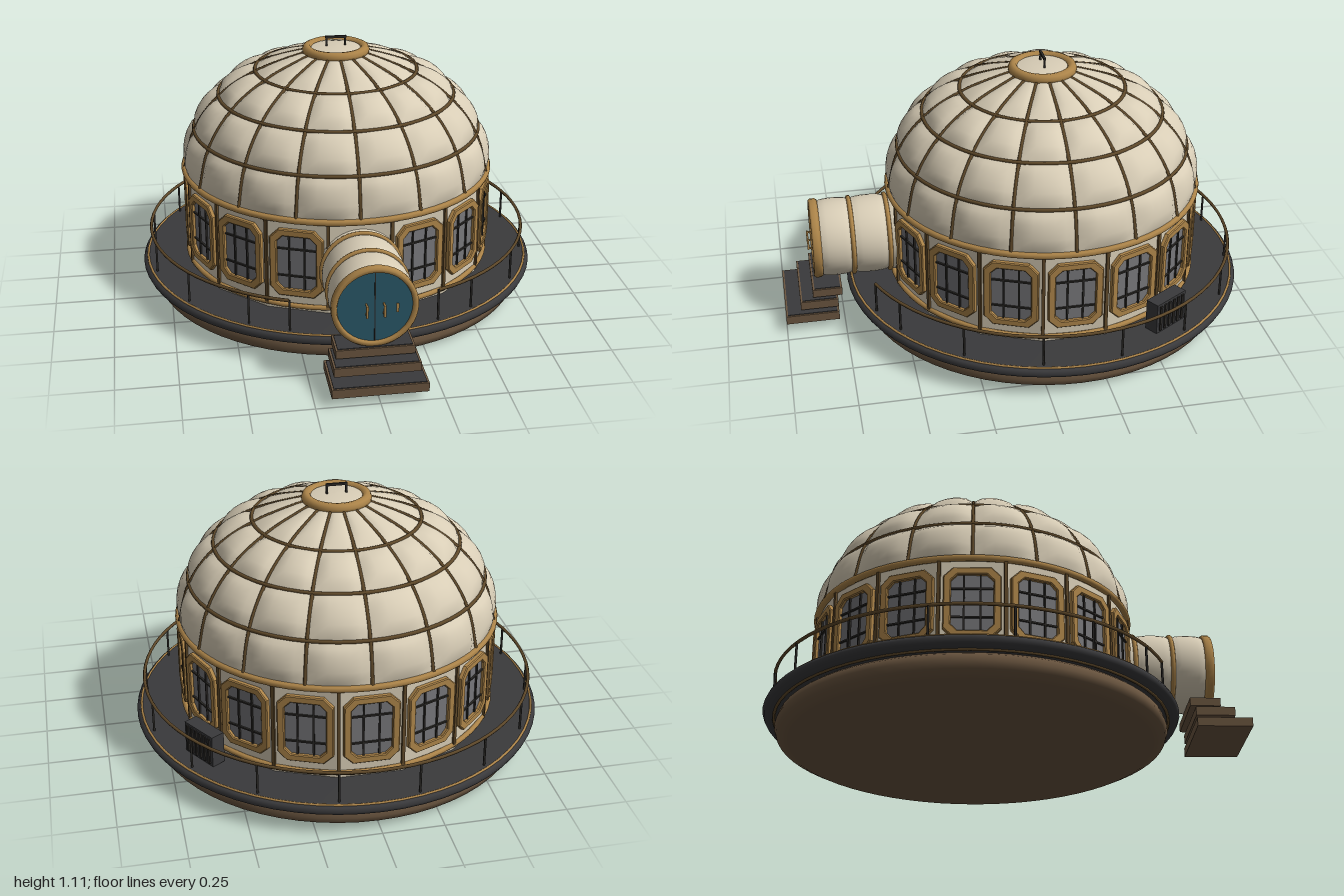
import * as THREE from 'three';
import { mergeGeometries } from 'three/addons/utils/BufferGeometryUtils.js';

const mat = (name, color, side = THREE.FrontSide) => {
  const m = new THREE.MeshStandardMaterial({ color, side });
  m.name = name;
  return m;
};

export function createModel() {
  const cream = mat('cream panel', 0xd8cdb6);
  const brass = mat('brass', 0xac8449);
  const bronze = mat('dark bronze', 0x5e4829);
  const brown = mat('brown base', 0x6b5640);
  const dark = mat('charcoal deck', 0x3a3a3c);
  const black = mat('black metal', 0x2b2926);
  const teal = mat('teal door', 0x2a5869);
  const glass = mat('grey glass', 0x77777a);

  const root = new THREE.Group();
  const house = new THREE.Group();
  house.name = 'domeHouse';
  house.position.z = -0.14;
  const entrance = new THREE.Group();
  entrance.name = 'entrance';
  root.add(house, entrance);

  const add = (parent, name, geo, material, x = 0, y = 0, z = 0) => {
    const m = new THREE.Mesh(geo, material);
    m.name = name;
    m.position.set(x, y, z);
    parent.add(m);
    return m;
  };
  const lathe = (pts, seg = 64) =>
    new THREE.LatheGeometry(pts.map(p => new THREE.Vector2(p[0], p[1])), seg);
  const hoop = (name, r, tube, y, material, seg = 64) =>
    add(house, name, new THREE.TorusGeometry(r, tube, 8, seg).rotateX(Math.PI / 2), material, 0, y);
  const box = (w, h, d) => new THREE.BoxGeometry(w, h, d);
  const N = 16, STEP = Math.PI * 2 / N;

  // Round base and deck
  add(house, 'base', lathe([[0, 0], [0.755, 0], [0.765, 0.001], [0.8, 0.018], [0.81, 0.045],
    [0.8, 0.075], [0.78, 0.09]]), brown);
  add(house, 'deck', lathe([[0.7, 0.088], [0.835, 0.088], [0.855, 0.097], [0.862, 0.112],
    [0.855, 0.127], [0.84, 0.133], [0.83, 0.134], [0, 0.134]]), dark);
  hoop('deckTrim', 0.842, 0.005, 0.132, brass);
  hoop('deckLowerTrim', 0.815, 0.006, 0.086, bronze);

  // Sixteen-sided wall with a corner at each post
  const wall = new THREE.CylinderGeometry(0.662, 0.662, 0.42, N, 1, true, STEP / 2).toNonIndexed();
  wall.computeVertexNormals();
  add(house, 'wall', wall, cream, 0, 0.34);
  hoop('wallBottomRail', 0.66, 0.011, 0.157, brass);
  hoop('wallTopRail', 0.664, 0.014, 0.54, brass);

  // Windows with chamfered frames, and posts between them
  const octagon = (C, w, h, c) => {
    const s = new C();
    s.moveTo(-w + c, -h);
    [[w - c, -h], [w, -h + c], [w, h - c], [w - c, h], [-w + c, h], [-w, h - c], [-w, -h + c]]
      .forEach(p => s.lineTo(p[0], p[1]));
    s.closePath();
    return s;
  };
  const frameShape = octagon(THREE.Shape, 0.108, 0.144, 0.036);
  frameShape.holes.push(octagon(THREE.Path, 0.086, 0.122, 0.028));
  const frameGeo = new THREE.ExtrudeGeometry(frameShape, {
    depth: 0.014, bevelEnabled: true, bevelSize: 0.004, bevelThickness: 0.004, bevelSegments: 1 });
  const paneGeo = new THREE.ShapeGeometry(octagon(THREE.Shape, 0.09, 0.126, 0.03));
  const barGeo = mergeGeometries([-1, 1].flatMap(s => [
    box(0.007, 0.245, 0.008).translate(s * 0.032, 0, 0),
    box(0.172, 0.007, 0.008).translate(0, s * 0.06, 0),
  ]));
  for (let i = 0; i < N; i++) {
    const a = i * STEP;
    if (i > 0) {
      const win = new THREE.Group();
      win.name = 'window';
      win.rotation.y = a;
      house.add(win);
      add(win, 'windowFrame', frameGeo, brass, 0, 0.35, 0.65);
      add(win, 'windowPane', paneGeo, glass, 0, 0.35, 0.653);
      add(win, 'windowBars', barGeo, black, 0, 0.35, 0.656);
    }
    const b = a + STEP / 2;
    add(house, 'wallPost', box(0.014, 0.39, 0.014), bronze,
      Math.sin(b) * 0.663, 0.345, Math.cos(b) * 0.663).rotation.y = b;
  }

  // Dome of puffed panels between ribs
  const profile = new THREE.CatmullRomCurve3([[0.662, 0.55], [0.615, 0.718], [0.505, 0.865],
    [0.345, 0.968], [0.12, 1.045]].map(p => new THREE.Vector3(0, p[1], p[0])));
  const ROWS = 4;
  const panels = [];
  for (let row = 0; row < ROWS; row++) {
    for (let i = 0; i < N; i++) {
      const g = new THREE.PlaneGeometry(1, 1, 6, 6);
      const pos = g.attributes.position;
      for (let k = 0; k < pos.count; k++) {
        const u = pos.getX(k) + 0.5, v = pos.getY(k) + 0.5;
        const t = (row + v) / ROWS;
        const p = profile.getPoint(t), d = profile.getTangent(t);
        const puff = 0.024 * Math.sqrt(Math.max(0, Math.sin(Math.PI * u) * Math.sin(Math.PI * v)))
          * (row === 3 ? 0.5 : 1);
        const r = p.z + d.y * puff, y = p.y - d.z * puff;
        const a = (i + u) * STEP;
        pos.setXYZ(k, Math.sin(a) * r, y, Math.cos(a) * r);
      }
      g.computeVertexNormals();
      panels.push(g);
    }
  }
  add(house, 'domePanels', mergeGeometries(panels), cream);
  const ribGeo = new THREE.TubeGeometry(profile, 24, 0.008, 6);
  for (let i = 0; i < N; i++) add(house, 'domeRib', ribGeo, bronze).rotation.y = i * STEP;
  for (let row = 1; row < ROWS; row++) {
    const p = profile.getPoint(row / ROWS);
    hoop('domeRing', p.z + 0.002, 0.008, p.y, bronze);
  }

  // Crown with a lifting handle
  add(house, 'crownRing', lathe([[0.105, 1.03], [0.13, 1.03], [0.142, 1.04], [0.144, 1.053],
    [0.138, 1.067], [0.125, 1.073], [0.111, 1.07], [0.105, 1.06]], 40), brass);
  add(house, 'crownCap', lathe([[0.115, 1.056], [0.08, 1.063], [0.04, 1.067], [0, 1.068]], 40), cream);
  add(house, 'crownHandle', box(0.09, 0.01, 0.01), black, 0, 1.105);
  for (const s of [-1, 1]) add(house, 'crownHandleLeg', box(0.008, 0.045, 0.008), black, s * 0.04, 1.083);

  // Railing, open at the front
  const R = 0.822, gap = 0.375;
  const railGeo = new THREE.TorusGeometry(R, 0.007, 6, 72, Math.PI * 2 - 2 * gap)
    .rotateX(-Math.PI / 2).rotateY(-Math.PI / 2 + gap);
  add(house, 'handrail', railGeo, bronze, 0, 0.267);
  const postGeo = new THREE.CylinderGeometry(0.005, 0.005, 0.137, 6);
  const postAngles = [gap, -gap];
  for (let i = 1; i < N - 1; i++) postAngles.push((i + 0.5) * STEP);
  for (const a of postAngles) {
    add(house, 'railPost', postGeo, black, Math.sin(a) * R, 0.2, Math.cos(a) * R);
  }

  // Louvred equipment box on the deck
  const unit = new THREE.Group();
  unit.name = 'equipmentBox';
  unit.rotation.y = Math.atan2(0.62, -0.39);
  house.add(unit);
  add(unit, 'boxBody', box(0.17, 0.135, 0.06), dark, 0, 0.205, 0.735);
  for (let i = 0; i < 6; i++) {
    add(unit, 'boxSlat', box(0.012, 0.115, 0.008), black, -0.065 + i * 0.026, 0.205, 0.767);
  }

  // Entrance tunnel with puffed sections and brass bands
  const CY = 0.338, bands = [0.42, 0.54, 0.695, 0.835];
  const tunnelPts = [];
  for (let b = 0; b < 3; b++) {
    for (let k = 0; k <= 8; k++) {
      if (b && !k) continue;
      tunnelPts.push([0.155 + 0.012 * Math.sqrt(Math.sin(Math.PI * k / 8) + 1e-9),
        bands[b] + (bands[b + 1] - bands[b]) * k / 8]);
    }
  }
  add(entrance, 'tunnel', lathe(tunnelPts, 40).rotateX(Math.PI / 2), cream, 0, CY);
  for (const z of [0.54, 0.695]) {
    add(entrance, 'tunnelBand', new THREE.TorusGeometry(0.161, 0.01, 8, 40), brass, 0, CY, z);
  }
  add(entrance, 'doorRing', lathe([[0.147, 0.83], [0.163, 0.828], [0.17, 0.838], [0.17, 0.858],
    [0.163, 0.866], [0.15, 0.866], [0.147, 0.858], [0.147, 0.83]], 40).rotateX(Math.PI / 2), brass, 0, CY);

  // Round double door
  add(entrance, 'door', new THREE.CylinderGeometry(0.152, 0.152, 0.03, 40).rotateX(Math.PI / 2),
    teal, 0, CY, 0.838);
  add(entrance, 'doorSeam', box(0.004, 0.29, 0.004), black, 0, CY, 0.854);
  for (const s of [-1, 1]) {
    add(entrance, 'doorHandle', box(0.009, 0.05, 0.008), brass, s * 0.034, 0.33, 0.88);
    for (const t of [-1, 1]) {
      add(entrance, 'handleMount', box(0.006, 0.006, 0.026), brass, s * 0.034, 0.33 + t * 0.02, 0.865);
    }
  }
  add(entrance, 'doorPlate', box(0.01, 0.036, 0.006), brass, 0.088, 0.328, 0.855);

  // Steps: half width, bottom, top, back, front
  for (const [w, y0, y1, z0, z1] of [[0.155, 0.137, 0.172, 0.755, 0.88],
    [0.17, 0.09, 0.127, 0.775, 0.935], [0.188, 0.037, 0.074, 0.775, 1]]) {
    add(entrance, 'step', box(w * 2, y1 - y0, z1 - z0), brown, 0, (y0 + y1) / 2, (z0 + z1) / 2);
    add(entrance, 'stepTread', box(w * 2 - 0.016, 0.004, z1 - z0 - 0.016), dark,
      0, y1 + 0.001, (z0 + z1) / 2);
  }
  return root;
}
